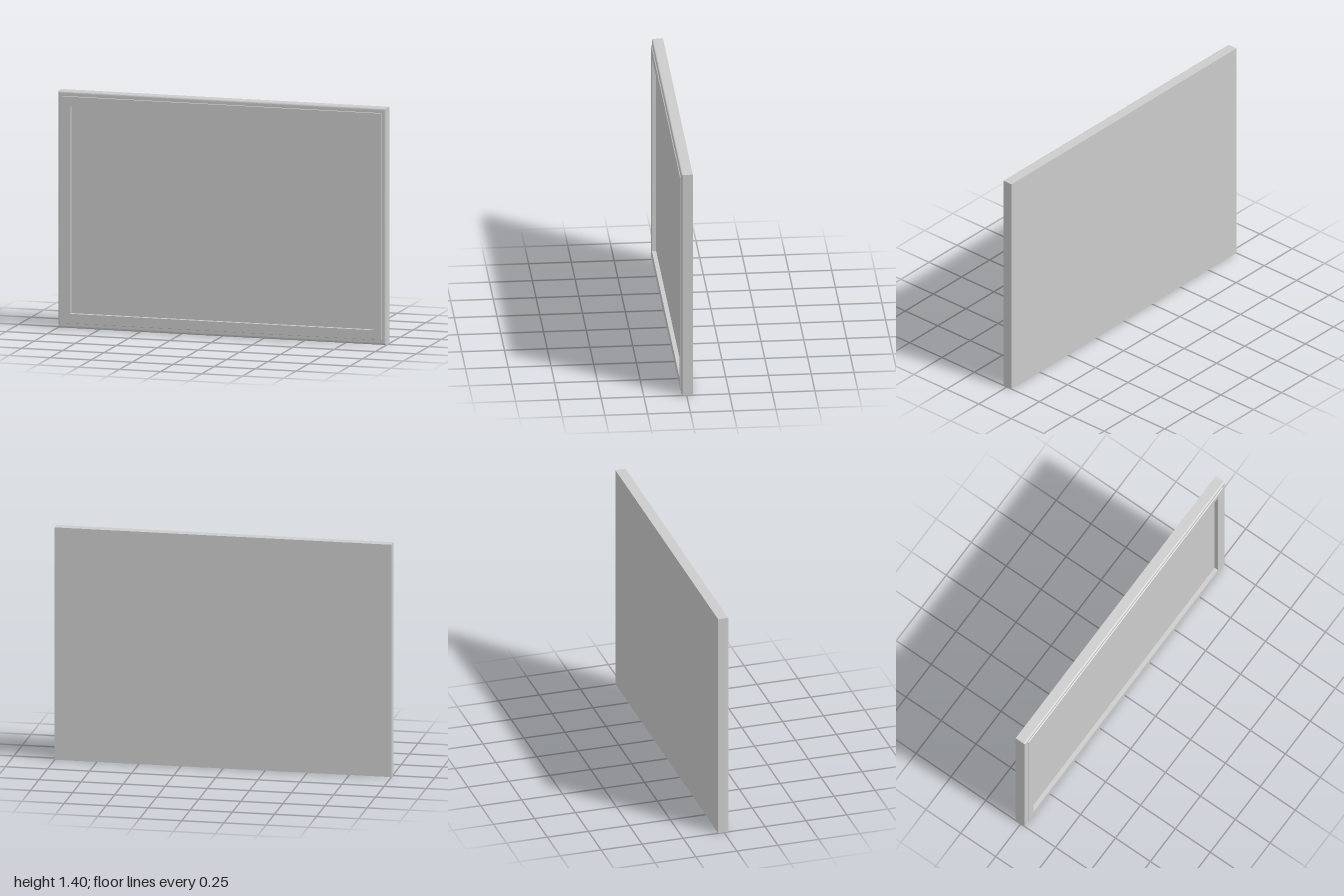
import * as THREE from 'three';

const W = 2, H = 1.4, BACK = -0.036, FRONT = 0.036, PANEL = 0.011;
const INSET_X = 0.077, INSET_Y = 0.086;

// Sweeps a profile of [inset x, inset y, z] points round a rectangle with mitred corners.
function mitredFrame(profile) {
  const corners = [[-1, -1], [1, -1], [1, 1], [-1, 1]];
  const pos = [];
  const point = ([ix, iy, z], [sx, sy]) => [sx * (W / 2 - ix), H / 2 + sy * (H / 2 - iy), z];
  for (let i = 0; i < profile.length - 1; i++) {
    for (let c = 0; c < 4; c++) {
      const a = point(profile[i], corners[c]);
      const b = point(profile[i], corners[(c + 1) % 4]);
      const d = point(profile[i + 1], corners[c]);
      const e = point(profile[i + 1], corners[(c + 1) % 4]);
      pos.push(...a, ...b, ...e, ...a, ...e, ...d);
    }
  }
  const geo = new THREE.BufferGeometry();
  geo.setAttribute('position', new THREE.Float32BufferAttribute(pos, 3));
  geo.computeVertexNormals();
  return geo;
}

export function createModel() {
  const model = new THREE.Group();
  model.name = 'pictureFrame';
  const mat = new THREE.MeshStandardMaterial({ color: 0xcccccc, side: THREE.DoubleSide });
  const add = (name, geo, z = 0, y = 0) => {
    const mesh = new THREE.Mesh(geo, mat);
    mesh.name = name;
    mesh.position.set(0, y, z);
    model.add(mesh);
    return mesh;
  };

  // Moulding: flat side, rounded outer edge, small step, flat face, wall down to the picture
  const profile = [[0, 0, BACK], [0, 0, 0.022]];
  for (let i = 1; i <= 4; i++) {
    const t = (i / 4) * Math.PI / 2;
    const inset = 0.012 * (1 - Math.cos(t));
    profile.push([inset, inset, 0.022 + 0.009 * Math.sin(t)]);
  }
  profile.push([0.028, 0.028, 0.031], [0.03, 0.03, FRONT]);
  profile.push([INSET_X, INSET_Y, FRONT], [INSET_X, INSET_Y, PANEL]);
  add('moulding', mitredFrame(profile));

  // Recessed picture surface
  add('picturePanel', new THREE.PlaneGeometry(W - 2 * INSET_X, H - 2 * INSET_Y), PANEL, H / 2);

  // Plain back
  add('backPanel', new THREE.PlaneGeometry(W, H), BACK, H / 2).rotation.y = Math.PI;

  return model;
}
